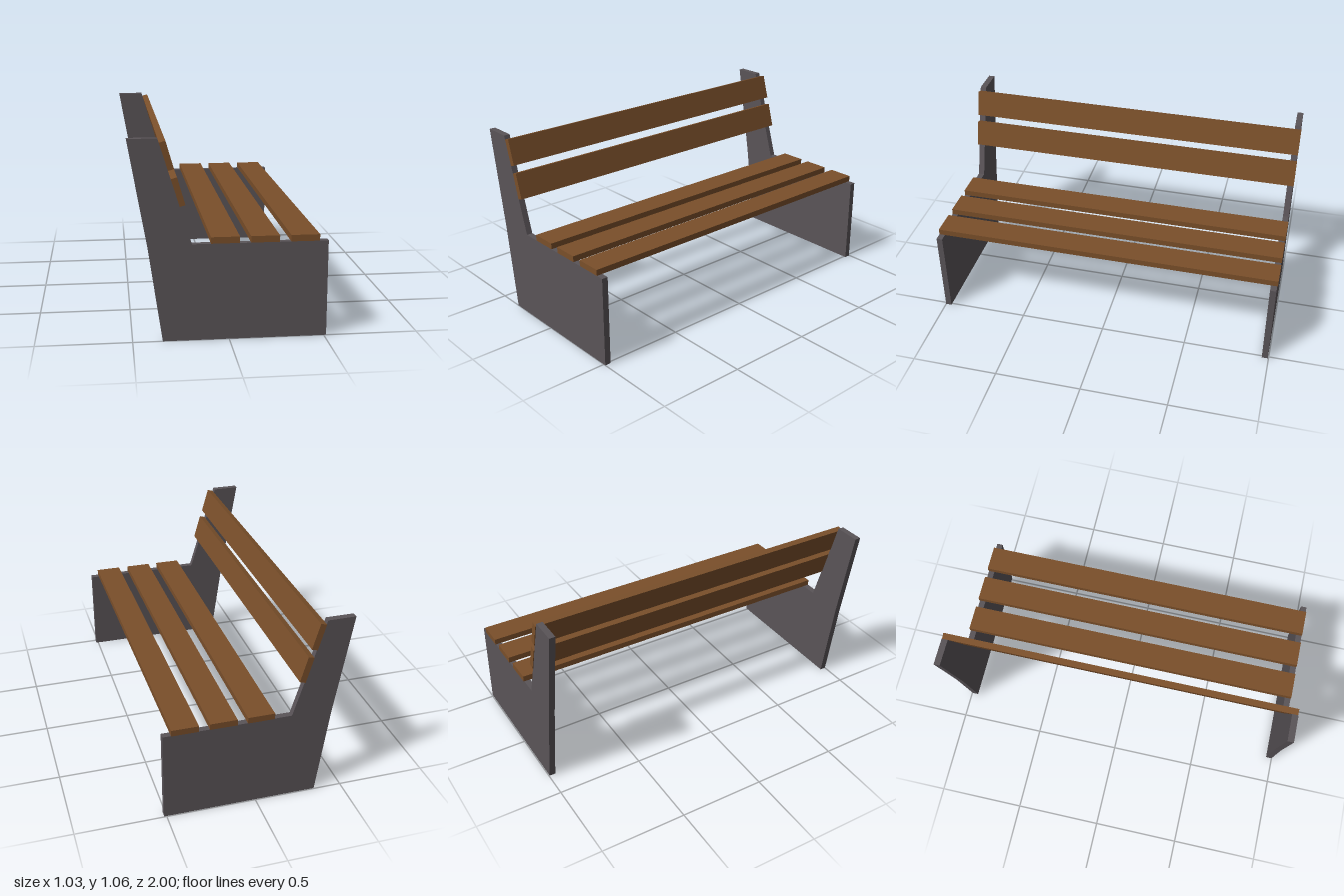
import * as THREE from 'three';

export function createModel() {
  const bench = new THREE.Group();
  bench.name = 'bench';
  const wood = new THREE.MeshStandardMaterial({ color: 0x7a4f2a });
  const iron = new THREE.MeshStandardMaterial({ color: 0x5a5458 });

  // Side panels: flat plates with a reclined back post
  const profile = new THREE.Shape([
    [-0.345, 0], [0.513, 0], [0.513, 0.514], [-0.192, 0.514],
    [-0.361, 1.058], [-0.515, 1.058], [-0.417, 0.5],
  ].map(([x, y]) => new THREE.Vector2(x, y)));
  const panelGeometry = new THREE.ExtrudeGeometry(profile, { depth: 0.035, bevelEnabled: false });
  for (const [name, z] of [['frontSidePanel', 0.965], ['backSidePanel', -0.996]]) {
    const panel = new THREE.Mesh(panelGeometry, iron);
    panel.name = name;
    panel.position.z = z;
    bench.add(panel);
  }

  // Planks running the full length of the bench
  function addPlank(name, x, y, tilt) {
    const plank = new THREE.Mesh(new THREE.BoxGeometry(0.149, 0.034, 2), wood);
    plank.name = name;
    plank.position.set(x, y, 0);
    plank.rotation.z = tilt;
    bench.add(plank);
  }

  // Seat planks lie flat on the panels
  [-0.021, 0.185, 0.393].forEach((x, i) => addPlank(`seatPlank${i + 1}`, x, 0.531, 0));

  // Backrest planks lean against the posts
  const lean = -Math.PI / 2 + 0.283;
  addPlank('lowerBackPlank', -0.261, 0.785, lean);
  addPlank('upperBackPlank', -0.317, 0.97, lean);

  return bench;
}
